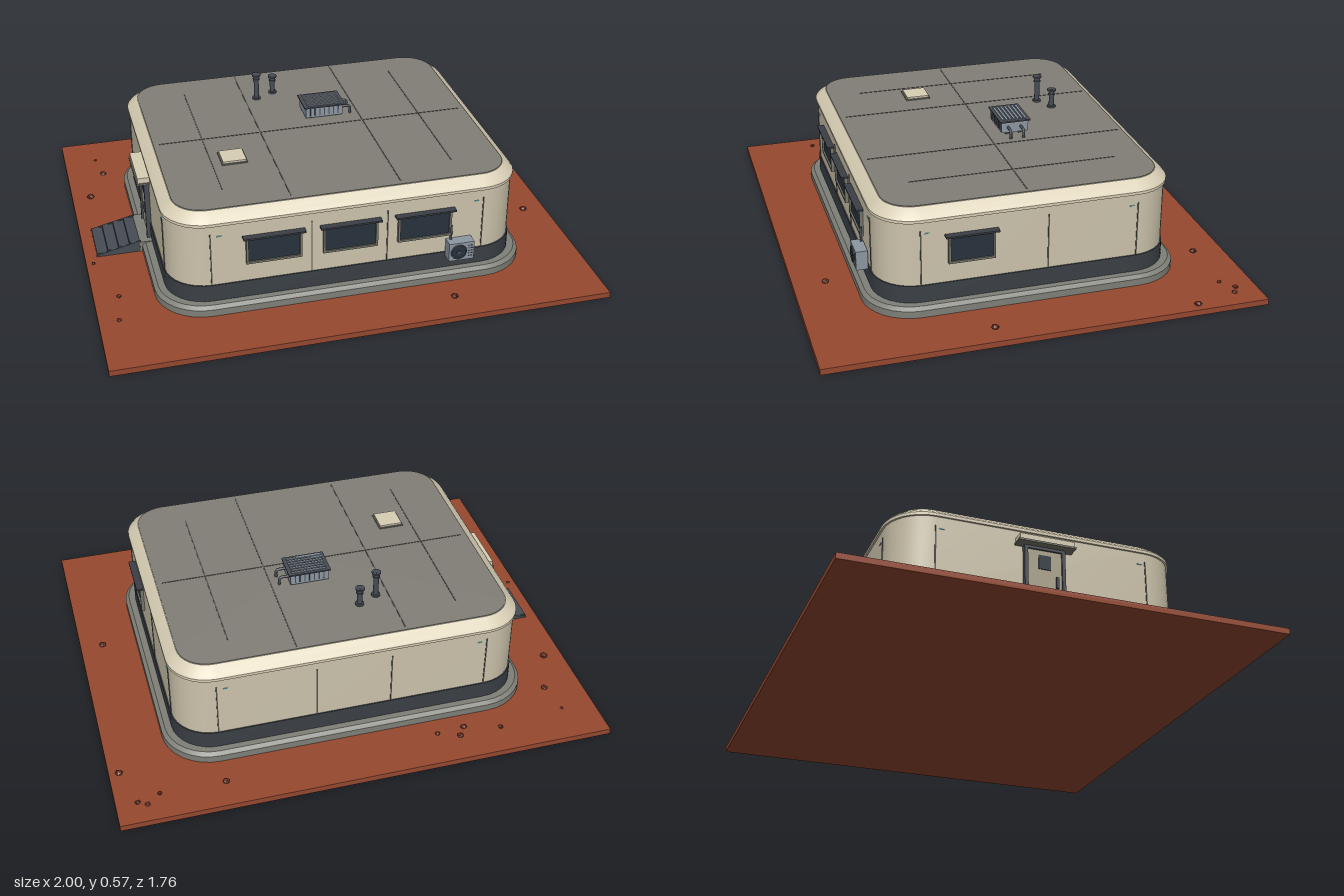
import * as THREE from 'three';
import { toCreasedNormals } from 'three/addons/utils/BufferGeometryUtils.js';

const mat = (color, extra = {}) => new THREE.MeshStandardMaterial({ color, ...extra });
const M = {
  soil: mat(0x96482f), rock: mat(0x6a3020, { flatShading: true }), concrete: mat(0x7f8078),
  wall: mat(0xcdc4ac), trim: mat(0xd8ceb5), skirt: mat(0x3b4046), roof: mat(0x827f77),
  seam: mat(0x55534d), frame: mat(0x77766c), glass: mat(0x27323c), steel: mat(0x8d97a3),
  dark: mat(0x474d55), light: mat(0x6fd0d0), door: mat(0xaaa28c),
};

function add(parent, name, geometry, material, x = 0, y = 0, z = 0) {
  const mesh = new THREE.Mesh(geometry, material);
  mesh.name = name;
  mesh.position.set(x, y, z);
  parent.add(mesh);
  return mesh;
}
const box = (parent, name, m, w, h, d, x, y, z) => add(parent, name, new THREE.BoxGeometry(w, h, d), m, x, y, z);
const cyl = (parent, name, m, r, h, x, y, z) => add(parent, name, new THREE.CylinderGeometry(r, r, h, 16), m, x, y, z);

// Stack of rounded rectangles, each given as [halfX, halfZ, cornerRadius, y], capped at both ends
function roundedStack(levels, n = 8) {
  const pos = [], idx = [], count = 4 * (n + 1);
  for (const [hx, hz, r, y] of levels) {
    for (let q = 0; q < 4; q++) {
      const mid = (q + 0.5) * Math.PI / 2;
      for (let i = 0; i <= n; i++) {
        const a = (q + i / n) * Math.PI / 2;
        pos.push(Math.sign(Math.cos(mid)) * (hx - r) + r * Math.cos(a), y,
          Math.sign(Math.sin(mid)) * (hz - r) + r * Math.sin(a));
      }
    }
  }
  const last = (levels.length - 1) * count, c0 = levels.length * count;
  pos.push(0, levels[0][3], 0, 0, levels[levels.length - 1][3], 0);
  for (let i = 0; i < count; i++) {
    const j = (i + 1) % count;
    for (let k = 0; k < last; k += count) {
      idx.push(k + i, k + count + i, k + j, k + j, k + count + i, k + count + j);
    }
    idx.push(c0, i, j, c0 + 1, last + j, last + i);
  }
  const g = new THREE.BufferGeometry();
  g.setAttribute('position', new THREE.Float32BufferAttribute(pos, 3));
  g.setIndex(idx);
  return toCreasedNormals(g, 0.4);
}

// Framed window with mullion-free glass and a sun shade; local +z points out of the wall
function addWindow(parent, x, w) {
  const g = new THREE.Group();
  g.name = 'window';
  g.position.set(x, 0.277, 0);
  parent.add(g);
  box(g, 'glass', M.glass, w - 0.015, 0.1, 0.012, 0, 0, 0);
  for (const s of [-1, 1]) {
    box(g, 'frameRail', M.frame, w, 0.009, 0.022, 0, s * 0.053, 0.002);
    box(g, 'framePost', M.frame, 0.009, 0.115, 0.022, s * (w / 2 - 0.0045), 0, 0.002);
  }
  box(g, 'sunShade', M.skirt, w + 0.025, 0.007, 0.034, 0, 0.062, 0.011);
}

// A facade group placed on one wall, with panel seams and small corner lights
function facade(parent, name, angle, dist, seams, lightX) {
  const g = new THREE.Group();
  g.name = name;
  g.rotation.y = angle;
  g.position.set(Math.sin(angle) * dist, 0, Math.cos(angle) * dist);
  parent.add(g);
  for (const x of seams) box(g, 'panelSeam', M.seam, 0.005, 0.23, 0.004, x, 0.253, 0);
  for (const s of [-1, 1]) box(g, 'cornerLight', M.light, 0.018, 0.004, 0.004, s * lightX, 0.356, 0);
  return g;
}

function addDoor(wall) {
  const g = new THREE.Group();
  g.name = 'entrance';
  wall.add(g);
  box(g, 'doorPanel', M.door, 0.14, 0.265, 0.016, 0, 0.2, 0.004);
  box(g, 'doorWindow', M.glass, 0.05, 0.06, 0.006, 0, 0.28, 0.012);
  box(g, 'doorHandle', M.dark, 0.01, 0.045, 0.012, 0.05, 0.2, 0.016);
  for (const s of [-1, 1]) box(g, 'doorPost', M.dark, 0.014, 0.28, 0.028, s * 0.077, 0.205, 0.006);
  box(g, 'doorLintel', M.dark, 0.168, 0.014, 0.028, 0, 0.338, 0.006);
  box(g, 'canopy', M.trim, 0.225, 0.026, 0.055, 0, 0.36, 0.02);
  box(g, 'canopyEdge', M.frame, 0.235, 0.008, 0.06, 0, 0.346, 0.022);
  box(g, 'landing', M.concrete, 0.225, 0.045, 0.06, 0, 0.047, 0.025);
  // Steps with sloping side plates
  for (let i = 0; i < 4; i++) {
    const h = 0.012 + i * 0.01;
    box(g, 'step', M.dark, 0.2, h, 0.045, 0, 0.024 + h / 2, 0.212 - i * 0.046);
  }
  const side = new THREE.Shape([[0.05, 0.02], [0.237, 0.02], [0.237, 0.03], [0.05, 0.074]]
    .map(([x, y]) => new THREE.Vector2(x, y)));
  for (const s of [-1, 1]) {
    const plate = add(g, 'stairSide', new THREE.ExtrudeGeometry(side, { depth: 0.008, bevelEnabled: false }), M.dark, s * 0.104 - 0.004);
    plate.rotation.y = -Math.PI / 2;
    plate.position.x += 0.008;
  }
}

function addWallUnit(wall) {
  const g = new THREE.Group();
  g.name = 'wallCoolingUnit';
  g.position.set(0.45, 0.16, 0.026);
  wall.add(g);
  box(g, 'casing', M.steel, 0.105, 0.08, 0.048, 0, 0, 0);
  cyl(g, 'fan', M.glass, 0.031, 0.006, -0.012, 0, 0.024).rotation.x = Math.PI / 2;
  add(g, 'fanRing', new THREE.TorusGeometry(0.031, 0.003, 6, 24), M.dark, -0.012, 0, 0.026);
  cyl(g, 'fanHub', M.dark, 0.008, 0.006, -0.012, 0, 0.027).rotation.x = Math.PI / 2;
  for (let i = -2; i <= 2; i++) box(g, 'slot', M.dark, 0.018, 0.003, 0.003, 0.037, i * 0.012, 0.024);
  cyl(g, 'pipe', M.dark, 0.005, 0.065, -0.034, 0.07, -0.016);
}

function addRoofParts(root) {
  const g = new THREE.Group();
  g.name = 'roofEquipment';
  root.add(g);
  for (const s of [-1, 1]) {
    box(g, 'roofSeam', M.seam, 0.005, 0.003, 1.07, s * 0.222, 0.457, -0.005);
    box(g, 'roofSeam', M.seam, 0.005, 0.003, 0.85, s * 0.47, 0.457, -0.005);
  }
  box(g, 'roofSeam', M.seam, 1.3, 0.003, 0.005, 0, 0.457, 0);
  box(g, 'hatchBase', M.frame, 0.106, 0.006, 0.106, -0.38, 0.459, 0.185);
  box(g, 'hatchLid', M.trim, 0.096, 0.012, 0.096, -0.38, 0.464, 0.185);
  // Chimney vents
  for (const [x, z, top] of [[-0.17, -0.31, 0.575], [-0.09, -0.35, 0.54]]) {
    cyl(g, 'ventPipe', M.dark, 0.011, top - 0.455, x, (top + 0.455) / 2, z);
    cyl(g, 'ventCap', M.dark, 0.019, 0.007, x, top - 0.004, z);
    cyl(g, 'ventCollar', M.dark, 0.015, 0.006, x, top - 0.024, z);
    cyl(g, 'ventFoot', M.dark, 0.018, 0.01, x, 0.46, z);
  }
  // Roof cooling unit with slats, feet and bent pipes
  box(g, 'unitCasing', M.steel, 0.16, 0.05, 0.115, 0.068, 0.493, -0.11);
  box(g, 'unitLid', M.dark, 0.176, 0.006, 0.13, 0.068, 0.517, -0.11);
  for (let i = -3; i <= 3; i++) {
    box(g, 'unitSlat', M.steel, 0.145, 0.005, 0.009, 0.068, 0.521, -0.11 + i * 0.016);
    for (const s of [-1, 1]) box(g, 'sideSlat', M.dark, 0.005, 0.034, 0.004, 0.068 + i * 0.02, 0.493, -0.11 + s * 0.058);
  }
  for (const z of [-0.135, -0.08]) {
    for (const x of [0.01, 0.126]) box(g, 'unitFoot', M.dark, 0.02, 0.02, 0.016, x, 0.463, z);
    const path = new THREE.CatmullRomCurve3([[0.14, 0.491], [0.178, 0.491], [0.188, 0.483], [0.188, 0.455]]
      .map(([x, y]) => new THREE.Vector3(x, y, z)), false, 'catmullrom', 0.2);
    add(g, 'unitPipe', new THREE.TubeGeometry(path, 16, 0.006, 8), M.dark);
  }
}

export function createModel() {
  const root = new THREE.Group();
  root.name = 'outpostBuilding';

  box(root, 'ground', M.soil, 2, 0.024, 1.76, 0, 0.012, 0);

  // Building shell
  add(root, 'foundation', roundedStack([[0.76, 0.64, 0.2, 0.02], [0.76, 0.64, 0.2, 0.053], [0.745, 0.625, 0.187, 0.066]]), M.concrete);
  add(root, 'skirt', roundedStack([[0.718, 0.598, 0.165, 0.06], [0.718, 0.598, 0.165, 0.138]]), M.skirt);
  add(root, 'walls', roundedStack([[0.713, 0.593, 0.16, 0.137], [0.713, 0.593, 0.16, 0.412]]), M.wall);
  add(root, 'roofRim', roundedStack([[0.721, 0.601, 0.168, 0.405], [0.721, 0.601, 0.168, 0.417],
    [0.712, 0.592, 0.159, 0.428], [0.676, 0.556, 0.123, 0.454]]), M.trim);
  add(root, 'roofDeck', roundedStack([[0.674, 0.554, 0.121, 0.45], [0.674, 0.554, 0.121, 0.457]]), M.roof);

  // Four facades
  const long = [-0.555, -0.155, 0.153, 0.55];
  const front = facade(root, 'frontFacade', 0, 0.594, long, 0.52);
  for (const x of [-0.307, 0, 0.305]) addWindow(front, x, 0.222);
  addWallUnit(front);
  facade(root, 'backFacade', Math.PI, 0.594, long, 0.52);
  const east = facade(root, 'leftFacade', Math.PI / 2, 0.714, [-0.435, 0.07, 0.435], 0.41);
  addWindow(east, -0.237, 0.185);
  const west = facade(root, 'rightFacade', -Math.PI / 2, 0.714, [-0.435, 0.435], 0.41);
  addDoor(west);

  addRoofParts(root);

  // Scattered rocks: x, z, radius
  const rocks = [[-0.86, -0.71, 0.007], [-0.84, -0.575, 0.015], [-0.92, -0.38, 0.017], [-0.945, -0.055, 0.007],
    [-0.97, 0.155, 0.008], [-0.9, 0.415, 0.011], [-0.92, 0.575, 0.011], [-0.575, -0.75, 0.011], [-0.4, -0.755, 0.014],
    [-0.43, -0.71, 0.014], [-0.315, -0.72, 0.011], [0.565, -0.755, 0.015], [0.825, -0.75, 0.01], [0.88, -0.795, 0.012],
    [0.915, -0.775, 0.012], [0.96, -0.6, 0.016], [0.905, 0.2, 0.016], [0.39, 0.75, 0.016]];
  rocks.forEach(([x, z, r], i) => {
    const rock = add(root, 'rock', new THREE.IcosahedronGeometry(r, 0), M.rock, x, 0.024 + r * 0.2, z);
    rock.scale.y = 0.7;
    rock.rotation.y = i * 1.3;
  });
  return root;
}
